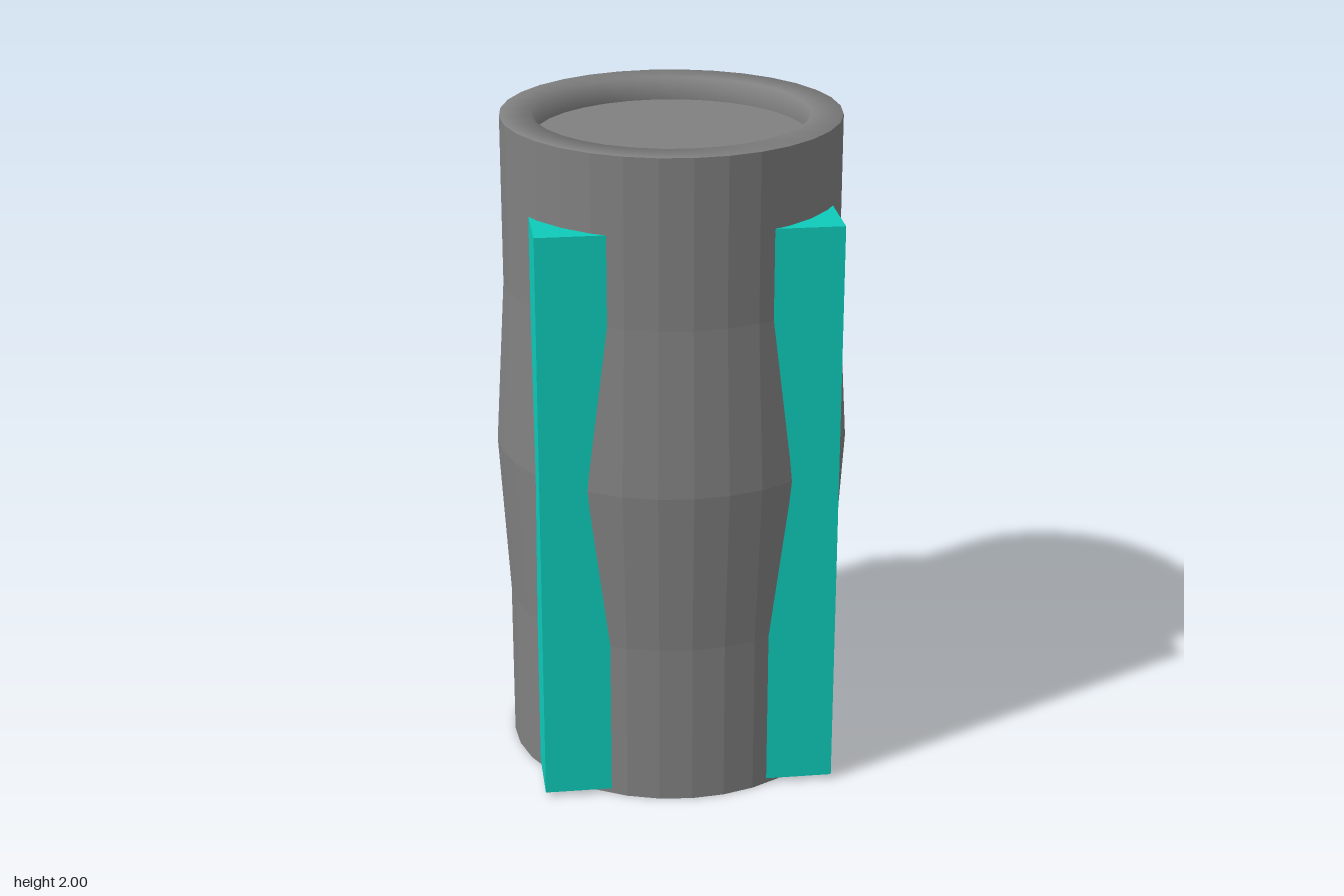
import * as THREE from 'three';

const SIDES = 32;

export function createModel() {
  const group = new THREE.Group();
  const grey = new THREE.MeshStandardMaterial({ name: 'grey metal', color: 0x808080 });
  const greyFlat = new THREE.MeshStandardMaterial({ name: 'grey metal faceted', color: 0x808080, flatShading: true });
  const teal = new THREE.MeshStandardMaterial({ name: 'teal', color: 0x0ecbbb });

  const add = (name, geometry, material) => {
    const mesh = new THREE.Mesh(geometry, material);
    mesh.name = name;
    group.add(mesh);
    return mesh;
  };
  const lathe = (...points) =>
    new THREE.LatheGeometry(points.map(([r, y]) => new THREE.Vector2(r, y)), SIDES);

  // Faceted canister with a bulged middle and closed bottom
  add('body', lathe([0, 0], [0.5, 0], [0.5, 0.5], [0.53, 1], [0.5, 1.5], [0.5, 2]), greyFlat);

  // Softly shaded flat rim and the inner wall of the recess
  add('rim', lathe([0.498, 1.95], [0.5, 2], [0.405, 2], [0.405, 1.93]), grey);

  // Sunken lid
  add('lid', lathe([0.405, 1.93], [0, 1.93]), greyFlat);

  // Square core whose corners stand out of the canister as four fins
  add('cornerFins', new THREE.BoxGeometry(0.875, 1.755, 0.875), teal).position.y = 0.8925;

  return group;
}
